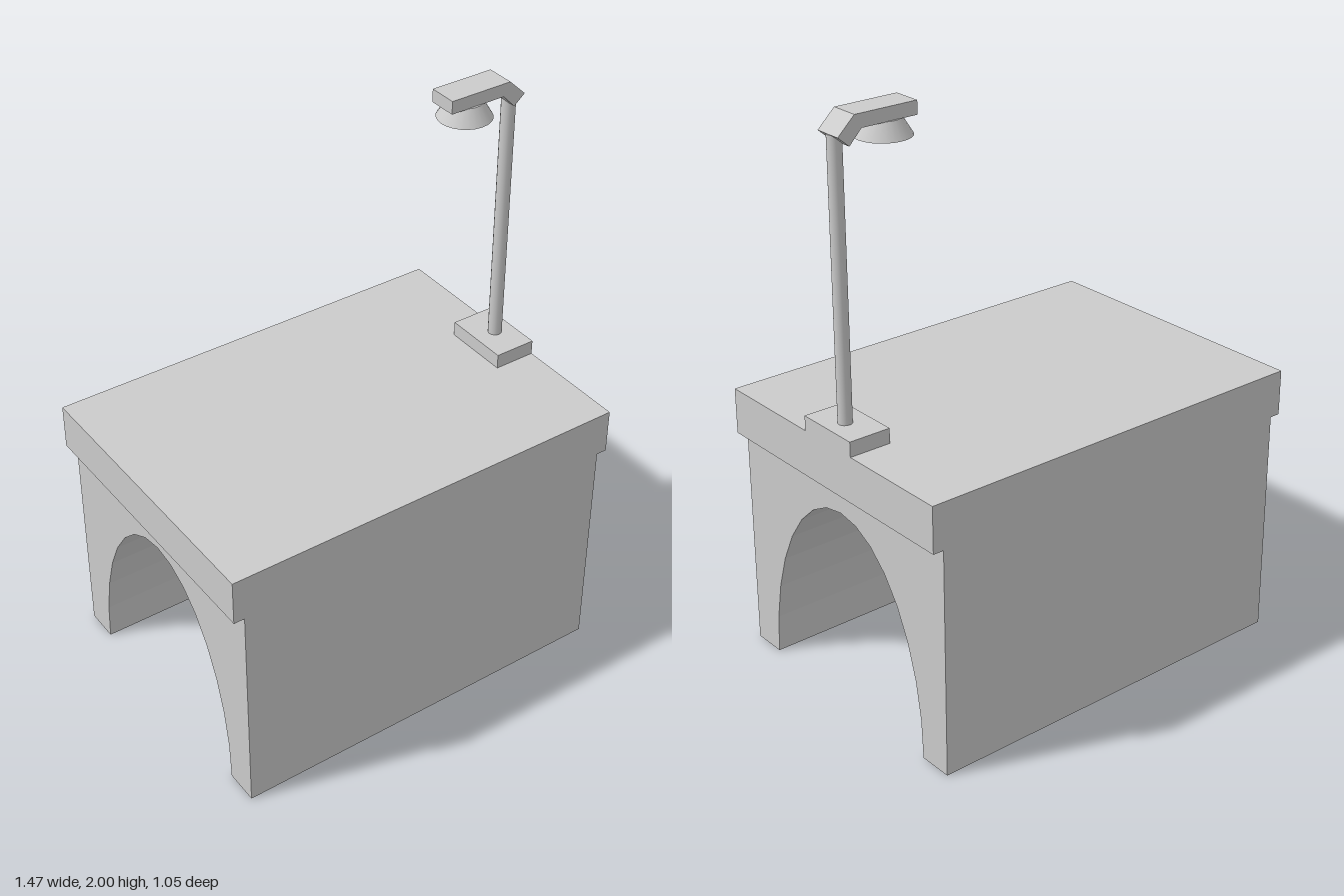
import * as THREE from 'three';

const grey = new THREE.MeshStandardMaterial({ color: 0xcccccc });

export function createModel() {
  const model = new THREE.Group();
  model.name = 'archBridgeWithLamp';

  const add = (name, geometry, x = 0, y = 0, z = 0, parent = model) => {
    const mesh = new THREE.Mesh(geometry, grey);
    mesh.name = name;
    mesh.position.set(x, y, z);
    parent.add(mesh);
    return mesh;
  };

  // Arched body: profile in z-y, run along x
  const halfWidth = 0.525, archWidth = 0.405, archHeight = 0.705, steps = 16;
  const points = [
    [archWidth, 0], [halfWidth, 0], [halfWidth, 0.8], [-halfWidth, 0.8], [-halfWidth, 0],
  ].map(([u, v]) => new THREE.Vector2(u, v));
  for (let i = 0; i < steps; i++) {
    const a = Math.PI * (1 - i / steps);
    points.push(new THREE.Vector2(archWidth * Math.cos(a), archHeight * Math.sin(a)));
  }
  const body = new THREE.ExtrudeGeometry(new THREE.Shape(points), { depth: 1.394, bevelEnabled: false });
  body.translate(0, 0, -0.697).rotateY(Math.PI / 2);
  add('archBody', body);

  // Deck slab overhanging both arch mouths
  add('deckSlab', new THREE.BoxGeometry(1.47, 0.16, 1.05), 0, 0.88, 0);

  // Street lamp at the deck's left edge
  const lamp = new THREE.Group();
  lamp.name = 'streetLamp';
  model.add(lamp);
  add('lampFoot', new THREE.BoxGeometry(0.15, 0.052, 0.24), 0.66, 0.986, 0, lamp);
  add('lampPole', new THREE.CylinderGeometry(0.024, 0.024, 0.93, 16), 0.666, 1.475, 0, lamp);

  // Bent arm: level bar ending in a slanted elbow
  const arm = new THREE.Shape([
    [0.4, 1.955], [0.603, 1.955], [0.648, 1.908], [0.688, 1.942], [0.627, 2], [0.4, 2],
  ].map(([x, y]) => new THREE.Vector2(x, y)));
  add('lampArm', new THREE.ExtrudeGeometry(arm, { depth: 0.1, bevelEnabled: false }), 0, 0, -0.05, lamp);

  // Flared shade, closed underneath
  add('lampShade', new THREE.CylinderGeometry(0.058, 0.091, 0.055, 24), 0.49, 1.9285, 0, lamp);

  return model;
}
